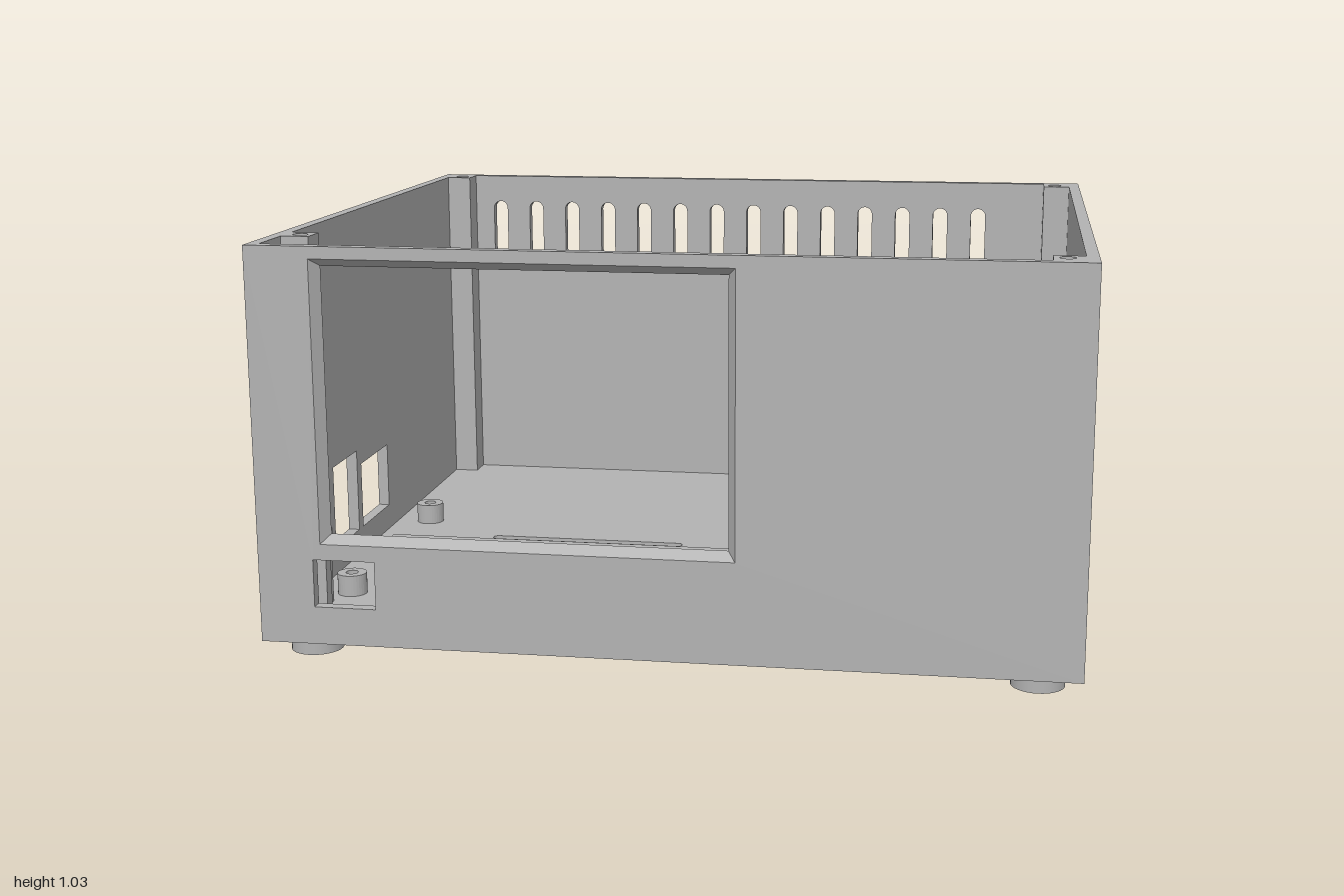
import * as THREE from 'three';

const W = 1, D = 0.865, T = 0.03;           // half width, half depth, wall thickness
const BOTTOM = 0.045, FLOOR = 0.075, TOP = 1.03;

function rect(x0, y0, x1, y1, Type = THREE.Path) {
  const p = new Type();
  p.moveTo(x0, y0);
  p.lineTo(x1, y0);
  p.lineTo(x1, y1);
  p.lineTo(x0, y1);
  p.closePath();
  return p;
}

function circle(x, y, r, Type = THREE.Path) {
  const p = new Type();
  p.absarc(x, y, r, 0, Math.PI * 2, false);
  return p;
}

// Round-ended slots, upright or lying
function slotV(x, y0, y1, r) {
  const p = new THREE.Path();
  p.absarc(x, y1 - r, r, 0, Math.PI, false);
  p.absarc(x, y0 + r, r, Math.PI, Math.PI * 2, false);
  p.closePath();
  return p;
}
function slotH(x0, x1, y, r) {
  const p = new THREE.Path();
  p.absarc(x1 - r, y, r, -Math.PI / 2, Math.PI / 2, false);
  p.absarc(x0 + r, y, r, Math.PI / 2, Math.PI * 1.5, false);
  p.closePath();
  return p;
}

function plate(shape, holes, depth) {
  shape.holes.push(...holes);
  return new THREE.ExtrudeGeometry(shape, { depth, bevelEnabled: false, curveSegments: 16 });
}

const row = (n, f) => Array.from({ length: n }, (_, i) => f(i));

export function createModel() {
  const group = new THREE.Group();
  const grey = new THREE.MeshStandardMaterial({ color: 0xb3b3b3 });
  grey.name = 'grey plastic';

  const add = (name, geo, x = 0, y = 0, z = 0) => {
    const m = new THREE.Mesh(geo, grey);
    m.name = name;
    m.position.set(x, y, z);
    group.add(m);
  };
  const block = (name, x0, x1, y0, y1, z0, z1) =>
    add(name, new THREE.BoxGeometry(x1 - x0, y1 - y0, z1 - z0),
      (x0 + x1) / 2, (y0 + y1) / 2, (z0 + z1) / 2);
  // Shape drawn in x and -z, raised from y0 to y1
  const upright = (name, shape, holes, y0, y1) =>
    add(name, plate(shape, holes, y1 - y0).rotateX(-Math.PI / 2), 0, y0, 0);

  // Front wall: screen window with sloped edges, and a switch opening
  const win = { x0: -0.82, y0: 0.32, x1: 0.16, y1: 0.98 };
  const front = plate(rect(-W, BOTTOM, W, TOP, THREE.Shape), [
    rect(win.x0, win.y0, win.x1, win.y1),
    rect(-0.86, 0.14, -0.705, 0.26),
  ], T);
  const p = front.attributes.position;
  const near = (a, b) => Math.abs(a - b) < 1e-4;
  for (let i = 0; i < p.count; i++) {
    const x = p.getX(i), y = p.getY(i);
    const onX = near(x, win.x0) || near(x, win.x1);
    const onY = near(y, win.y0) || near(y, win.y1);
    if (onX && onY && p.getZ(i) > T / 2) {
      p.setXY(i, x + (near(x, win.x0) ? -0.02 : 0.02), y + (near(y, win.y0) ? -0.02 : 0.02));
    }
  }
  front.computeVertexNormals();
  add('frontWall', front, 0, 0, D - T);

  // Back wall with a row of vents near the top
  add('backWall', plate(rect(-W, BOTTOM, W, TOP, THREE.Shape),
    row(14, i => slotV(-0.82 + i * 0.1168, 0.775, 0.95, 0.022)), T), 0, 0, -D);

  // Side walls, drawn in -z and y
  const side = holes => plate(rect(T - D, BOTTOM, D - T, TOP, THREE.Shape), holes, T)
    .rotateY(Math.PI / 2);
  add('leftWall', side(row(10, i => slotV(-0.45 + i * 0.1035, 0.108, 0.307, 0.022))), W - T);
  add('rightWall', side([
    rect(-0.17, 0.145, 0.06, 0.325),
    rect(-0.395, 0.145, -0.205, 0.37),
    circle(-0.47, 0.192, 0.05),
  ]), -W);

  // Floor with two vent grilles
  upright('floor', rect(T - W, T - D, W - T, D - T, THREE.Shape), [
    ...row(9, i => slotH(-0.645, -0.095, 0.013 - i * 0.0515, 0.014)),
    ...row(10, i => slotH(0.365, 0.855, 0.04 - i * 0.0517, 0.014)),
  ], BOTTOM, FLOOR);

  // Screw posts for the lid
  const post = (x0, x1, z0, z1, hx, hz) =>
    upright('screwPost', rect(x0, -z1, x1, -z0, THREE.Shape), [circle(hx, -hz, 0.019)], FLOOR, TOP);
  post(-0.97, -0.9, -0.835, -0.76, -0.933, -0.797);
  post(0.895, 0.97, -0.835, -0.76, 0.928, -0.797);
  post(0.895, 0.97, 0.755, 0.835, 0.928, 0.79);
  post(-0.97, -0.9, 0.62, 0.695, -0.933, 0.658);

  // Screen holder: rails, clamp posts and the ledge under the window
  block('screenRail', -0.935, -0.915, FLOOR, 1.0, 0.705, 0.835);
  block('screenRail', 0.19, 0.21, FLOOR, 1.0, 0.705, 0.835);
  block('clampPost', -0.915, -0.873, FLOOR, 1.0, 0.705, 0.74);
  block('clampPost', 0.148, 0.19, FLOOR, 1.0, 0.705, 0.74);
  block('screenLedge', -0.69, 0.19, 0.26, 0.3, 0.75, 0.835);

  // Hollow standoffs on the floor
  for (const [x, z] of [[-0.875, -0.155], [0.23, -0.087], [-0.875, 0.545], [0.23, 0.545]]) {
    upright('standoff', circle(x, -z, 0.038, THREE.Shape), [circle(x, -z, 0.016)], FLOOR, 0.13);
  }

  // Feet
  for (const x of [-0.895, 0.895]) {
    for (const z of [-0.76, 0.76]) {
      add('foot', new THREE.CylinderGeometry(0.065, 0.065, BOTTOM, 32), x, BOTTOM / 2, z);
    }
  }
  return group;
}
